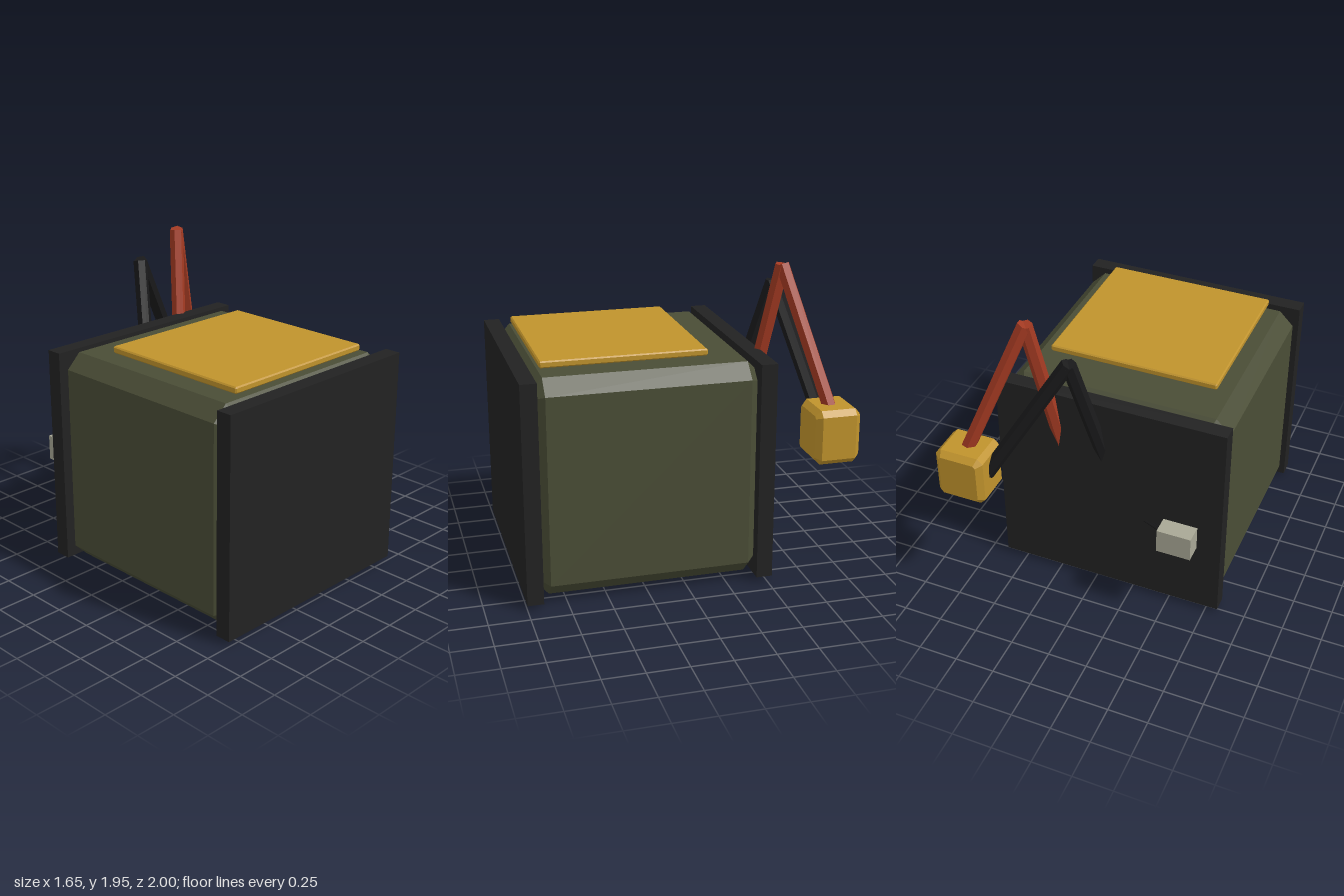
import * as THREE from 'three';

const mat = (name, color) => {
  const m = new THREE.MeshStandardMaterial({ color, flatShading: true });
  m.name = name;
  return m;
};

// Box with cut corners (c) in the xy outline and a bevel (b) on the front and back rims
function chamferBox(w, h, d, c, b) {
  const x = w / 2, y = h / 2;
  const shape = new THREE.Shape([
    [-x + c, -y], [x - c, -y], [x, -y + c], [x, y - c],
    [x - c, y], [-x + c, y], [-x, y - c], [-x, -y + c],
  ].map(([px, py]) => new THREE.Vector2(px, py)));
  const depth = d - 2 * b;
  const geo = new THREE.ExtrudeGeometry(shape, {
    depth, bevelEnabled: true, bevelSegments: 1, bevelSize: b, bevelThickness: b, bevelOffset: -b,
  });
  return geo.translate(0, 0, -depth / 2);
}

export function createModel() {
  const group = new THREE.Group();
  const olive = mat('olive', 0x4a4d36);
  const black = mat('black', 0x222222);
  const darkRubber = mat('dark rubber', 0x1a1a1b);
  const yellow = mat('yellow', 0xc0932c);
  const red = mat('red', 0xa33a22);
  const paleGrey = mat('pale grey', 0xa8a795);
  const grey = mat('grey', 0x66666a);

  const add = (name, geo, material, x, y, z, parent = group) => {
    const mesh = new THREE.Mesh(geo, material);
    mesh.name = name;
    mesh.position.set(x, y, z);
    parent.add(mesh);
    return mesh;
  };

  // Straight rod between two points
  const rod = (name, a, b, radius, sides, material, parent) => {
    const p = new THREE.Vector3(...a), q = new THREE.Vector3(...b);
    const dir = q.clone().sub(p);
    const mid = p.clone().add(q).multiplyScalar(0.5);
    const mesh = add(name, new THREE.CylinderGeometry(radius, radius, dir.length(), sides),
      material, mid.x, mid.y, mid.z, parent);
    mesh.quaternion.setFromUnitVectors(new THREE.Vector3(0, 1, 0), dir.normalize());
  };

  // Body between two end plates
  add('body', chamferBox(1.415, 1.365, 1.335, 0.092, 0.05), olive, -0.0975, 0.7175, 0.2335);
  add('frontPlate', new THREE.BoxGeometry(1.465, 1.375, 0.1), black, -0.0975, 0.7175, 0.95);
  add('backPlate', new THREE.BoxGeometry(1.465, 1.375, 0.1), black, -0.0975, 0.7175, -0.483);

  // Top panel, floating just above the body
  add('topPanel', chamferBox(1.075, 0.042, 1.015, 0.008, 0.008), yellow, -0.0975, 1.45, 0.345);

  // Runners under the body
  for (const x of [-0.457, -0.099, 0.259]) {
    add('runner', new THREE.BoxGeometry(0.02, 0.025, 1.31), grey, x, 0.0125, 0.235);
  }

  // Bent leads running to the hanging block
  const lead = (name, points, material) => {
    const g = new THREE.Group();
    g.name = name;
    group.add(g);
    rod(name + 'Lower', points[0], points[1], 0.045, 6, material, g);
    rod(name + 'Upper', points[1], points[2], 0.045, 6, material, g);
  };
  lead('redLead', [[0.215, 0.92, -0.47], [0.355, 1.935, -0.645], [0.67, 1.11, -0.857]], red);
  lead('blackLead', [[-0.055, 0.98, -0.485], [0.07, 1.77, -0.69], [0.55, 0.96, -0.868]], darkRubber);
  add('hangingBlock', chamferBox(0.31, 0.336, 0.28, 0.034, 0.034), yellow, 0.67, 0.975, -0.86);

  // Small connector with a fan of five thin wires
  add('connector', new THREE.BoxGeometry(0.215, 0.16, 0.115), paleGrey, -0.5975, 0.67, -0.677);
  for (let i = 0; i < 5; i++) {
    rod('wire', [-0.44 + i * 0.035, 0.59, -0.505], [-0.635 + i * 0.034, 0.662, -0.645],
      0.007, 6, i === 0 ? red : darkRubber);
  }

  return group;
}
